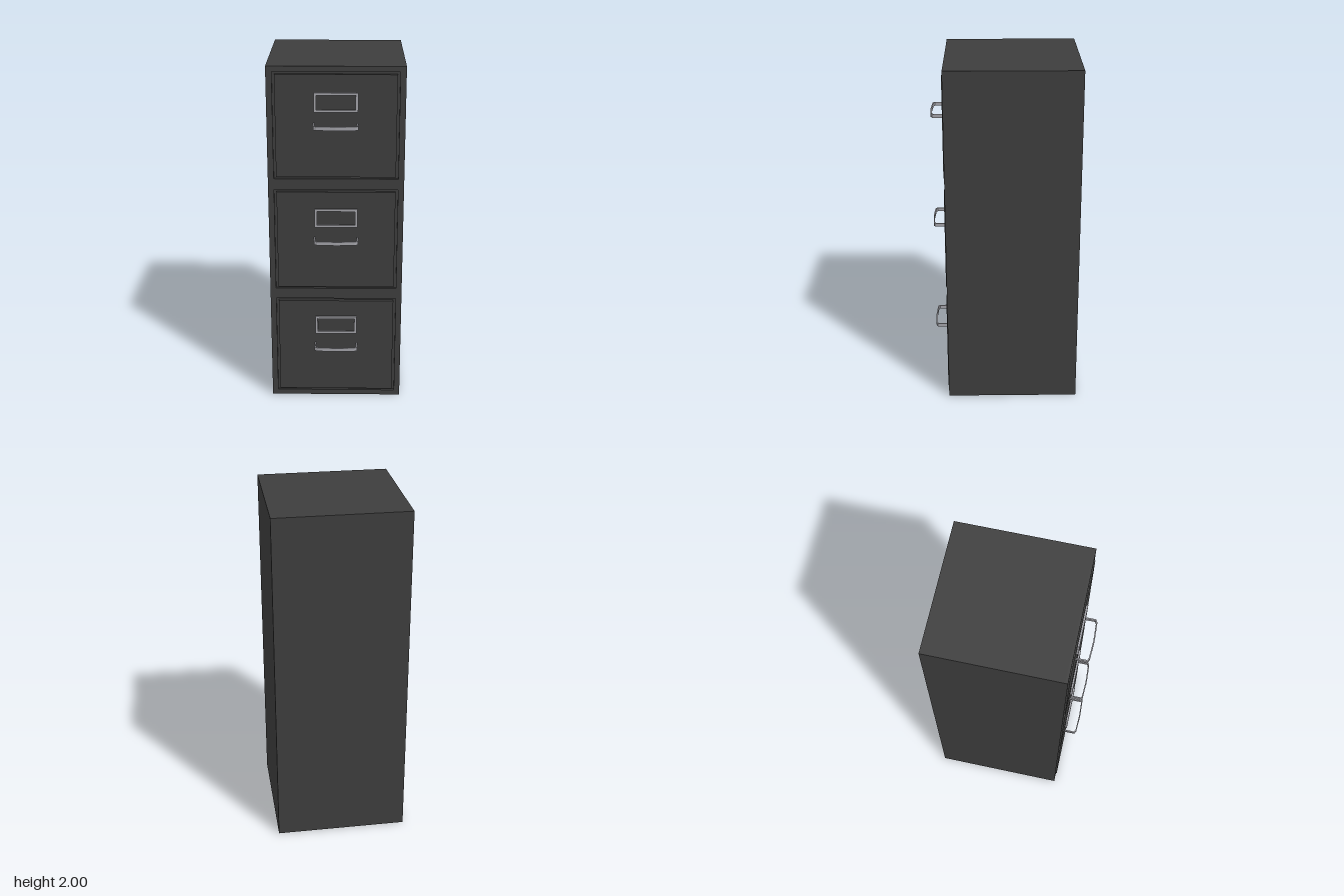
import * as THREE from 'three';

const FRONT = 0.335;   // z of the cabinet face
const BACK = -0.425;
const GROOVE = 0.015;  // depth of the gap around each drawer
const PANEL = 0.341;   // z of the drawer faces
const drawerCentres = [1.667, 1.0, 0.333];

const bodyPaint = new THREE.MeshStandardMaterial({ color: 0x3d3d3d });
bodyPaint.name = 'charcoal paint';
const metal = new THREE.MeshStandardMaterial({ color: 0xa2a2a8 });
metal.name = 'grey metal';

function rect(path, cx, cy, hw, hh) {
  path.moveTo(cx - hw, cy - hh);
  path.lineTo(cx + hw, cy - hh);
  path.lineTo(cx + hw, cy + hh);
  path.lineTo(cx - hw, cy + hh);
  path.closePath();
  return path;
}

function extrude(shape, depth) {
  return new THREE.ExtrudeGeometry(shape, { depth, bevelEnabled: false });
}

function addMesh(parent, name, geometry, material, x = 0, y = 0, z = 0) {
  const mesh = new THREE.Mesh(geometry, material);
  mesh.name = name;
  mesh.position.set(x, y, z);
  parent.add(mesh);
  return mesh;
}

// Bent pull bar, drawn in plan and extruded upwards
function handleGeometry(height) {
  const outer = [[0.124, FRONT], [0.124, 0.406], [0.106, 0.415], [0, 0.42]];
  const inner = [[0.116, FRONT], [0.116, 0.401], [0.103, 0.408], [0, 0.413]];
  const mirror = (pts) => pts.slice(0, 3).reverse().map(([x, z]) => [-x, z]);
  const outline = [
    ...outer, ...mirror(outer),
    ...[...inner, ...mirror(inner)].reverse(),
  ];
  const shape = new THREE.Shape(outline.map(([x, z]) => new THREE.Vector2(x, z)));
  const geometry = extrude(shape, height);
  geometry.rotateX(Math.PI / 2); // plan z to model z
  geometry.translate(0, height / 2, 0);
  return geometry;
}

export function createModel() {
  const model = new THREE.Group();
  model.name = 'filingCabinet';

  // Carcass behind the face
  const depth = FRONT - GROOVE - BACK;
  addMesh(model, 'cabinetBody', new THREE.BoxGeometry(0.76, 2, depth), bodyPaint,
    0, 1, BACK + depth / 2);

  // Face frame with one opening per drawer
  const face = rect(new THREE.Shape(), 0, 1, 0.38, 1);
  drawerCentres.forEach((y) => face.holes.push(rect(new THREE.Path(), 0, y, 0.347, 0.302)));
  addMesh(model, 'faceFrame', extrude(face, GROOVE), bodyPaint, 0, 0, FRONT - GROOVE);

  // Shared drawer geometries
  const panelDepth = PANEL - FRONT + GROOVE;
  const panelGeometry = new THREE.BoxGeometry(0.666, 0.578, panelDepth);
  const label = rect(new THREE.Shape(), 0, 0, 0.121, 0.054);
  label.holes.push(rect(new THREE.Path(), 0, 0, 0.107, 0.041));
  const labelGeometry = extrude(label, 0.01);
  const pullGeometry = handleGeometry(0.021);

  drawerCentres.forEach((y, i) => {
    const drawer = new THREE.Group();
    drawer.name = 'drawer' + (i + 1);
    drawer.position.y = y;
    addMesh(drawer, 'drawerFront', panelGeometry, bodyPaint, 0, 0, PANEL - panelDepth / 2);
    addMesh(drawer, 'labelHolder', labelGeometry, metal, 0, 0.136, PANEL);
    addMesh(drawer, 'handle', pullGeometry, metal, 0, 0.009, 0);
    model.add(drawer);
  });

  return model;
}
